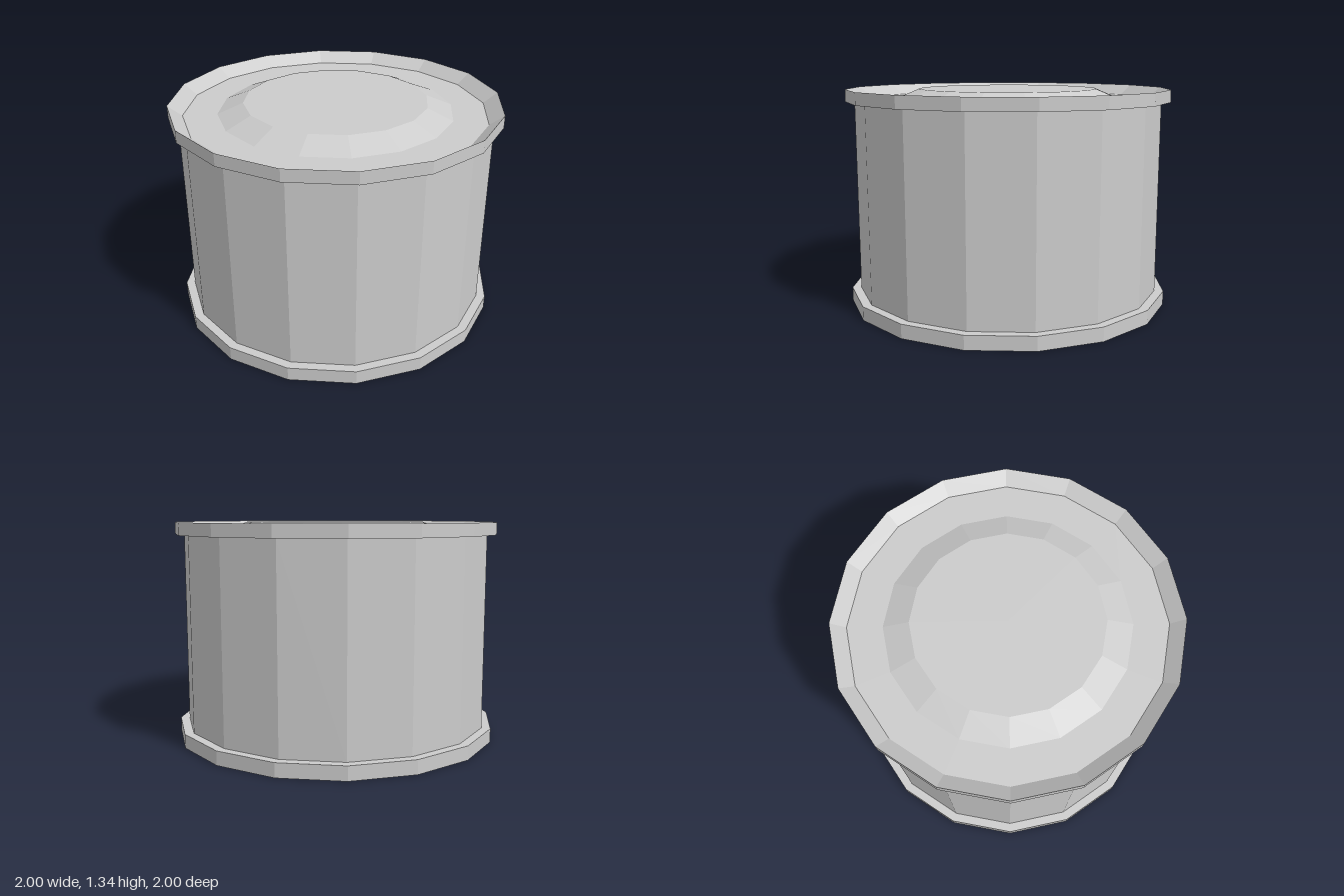
import * as THREE from 'three';

const SIDES = 16;

export function createModel() {
  const model = new THREE.Group();
  model.name = 'can';

  const metal = new THREE.MeshStandardMaterial({ color: 0xcccccc });
  metal.name = 'grey metal';
  metal.flatShading = true;

  // Revolve a profile of [radius, height] pairs, listed from bottom to top
  const turned = (name, profile) => {
    const points = profile.map(([r, y]) => new THREE.Vector2(r, y));
    const mesh = new THREE.Mesh(new THREE.LatheGeometry(points, SIDES), metal);
    mesh.name = name;
    model.add(mesh);
  };

  // Flat base with its projecting rim
  turned('bottomRim', [[0, 0], [1, 0], [1, 0.085], [0.945, 0.085]]);

  // Straight wall
  turned('body', [[0.945, 0.085], [0.945, 1.26]]);

  // Top rim, sloping inwards to the recessed lid
  turned('topRim', [[0.945, 1.26], [1, 1.26], [1, 1.335], [0.915, 1.27]]);

  // Recessed lid with a raised centre
  turned('lid', [[0.915, 1.27], [0.71, 1.27], [0.555, 1.335], [0, 1.335]]);

  return model;
}
